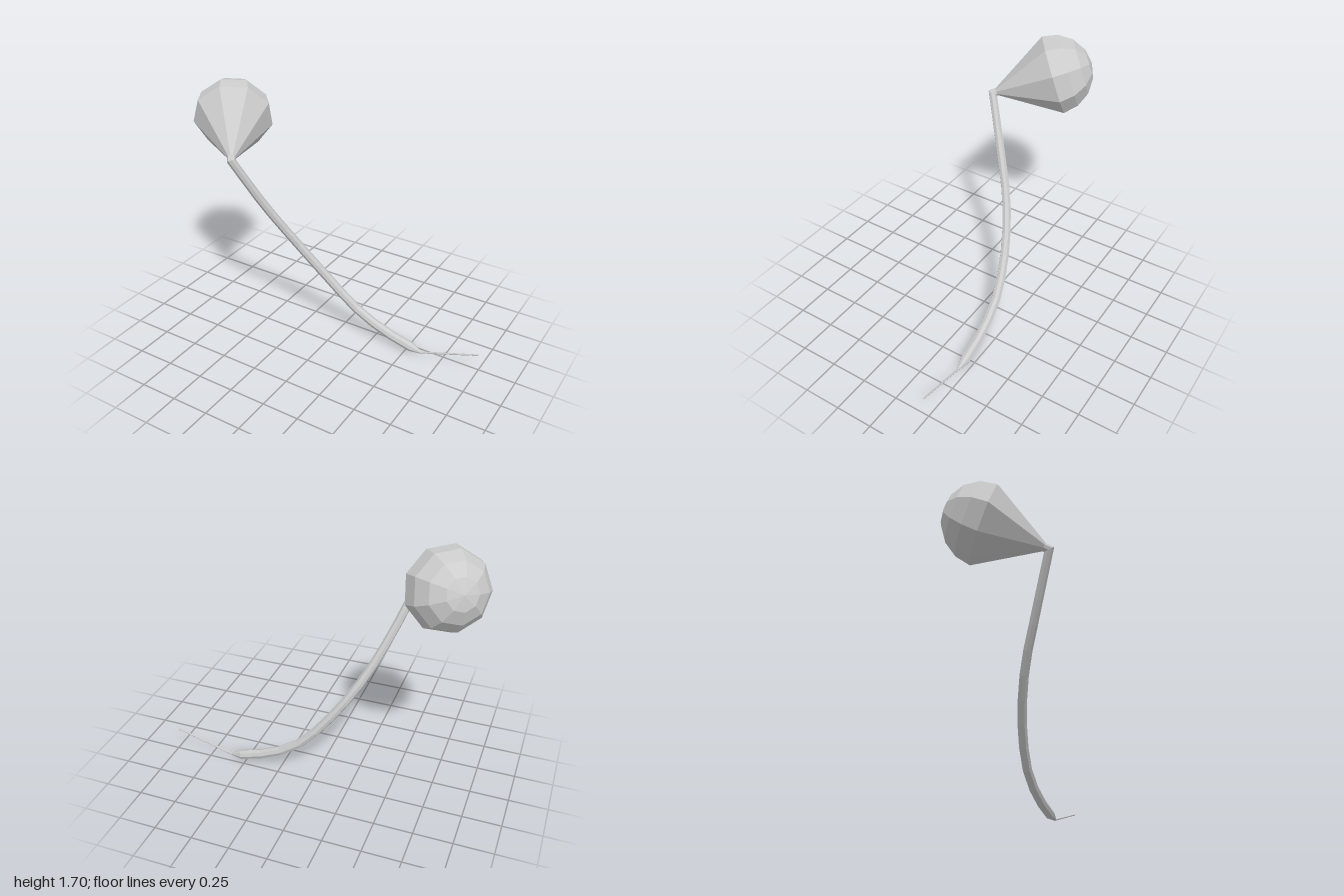
import * as THREE from 'three';

const V = (x, y, z) => new THREE.Vector3(x, y, z);
const material = new THREE.MeshStandardMaterial({ color: 0xcccccc, flatShading: true });

// Prism swept along a path, with mitred corners and one radius per point.
function sweep(points, radii, sides) {
  const last = points.length - 1;
  const dirs = points.slice(1).map((p, i) => p.clone().sub(points[i]).normalize());
  const a = V(0, 1, 0).cross(dirs[0]).normalize();
  const b = dirs[0].clone().cross(a);
  const ring = Array.from({ length: sides }, (_, j) => {
    const t = (j / sides) * Math.PI * 2;
    return a.clone().multiplyScalar(Math.cos(t)).addScaledVector(b, Math.sin(t));
  });
  const pos = [], index = [];
  points.forEach((p, i) => {
    if (i > 0) {
      // slide the ring along its segment onto the mitre plane
      const d = dirs[i - 1];
      const n = i < last ? d.clone().add(dirs[i]).normalize() : d;
      ring.forEach(o => o.addScaledVector(d, -o.dot(n) / d.dot(n)));
    }
    ring.forEach(o => pos.push(...p.clone().addScaledVector(o, radii[i]).toArray()));
  });
  pos.push(...points[0].toArray(), ...points[last].toArray());
  const c0 = sides * (last + 1), end = sides * last;
  for (let j = 0; j < sides; j++) {
    const k = (j + 1) % sides;
    for (let i = 0; i < last; i++) {
      const r = i * sides, s = r + sides;
      index.push(r + j, r + k, s + k, r + j, s + k, s + j);
    }
    index.push(c0, k, j, c0 + 1, end + j, end + k);
  }
  const g = new THREE.BufferGeometry();
  g.setAttribute('position', new THREE.Float32BufferAttribute(pos, 3));
  g.setIndex(index);
  g.computeVertexNormals();
  return g;
}

function addPart(group, name, geometry) {
  const mesh = new THREE.Mesh(geometry, material);
  mesh.name = name;
  group.add(mesh);
  return mesh;
}

export function createModel() {
  const group = new THREE.Group();

  // Bulb: nine-sided cone closed by a domed cap, tilted up and back
  const R = 0.257;
  const profile = [new THREE.Vector2(0, -0.385), new THREE.Vector2(0.022, -0.385)];
  for (let i = 0; i <= 4; i++) {
    const t = (i * Math.PI) / 8;
    profile.push(new THREE.Vector2(i < 4 ? R * Math.cos(t) : 0, R * Math.sin(t)));
  }
  const bulb = addPart(group, 'bulb', new THREE.LatheGeometry(profile, 9));
  const axis = V(-0.542, 0.309, -0.782).normalize();
  const side = V(0.225, 0.956, 0.19).cross(axis).normalize();
  bulb.quaternion.setFromRotationMatrix(
    new THREE.Matrix4().makeBasis(side, axis, side.clone().cross(axis)));
  bulb.position.set(-0.739, 1.465, -0.051);

  // Stem: short neck at the bulb, a sharp bend, then a long curve with a tapered end
  const curve = new THREE.CatmullRomCurve3([
    V(-0.518, 1.335, 0.268), V(-0.39, 1.0, 0.122), V(-0.257, 0.72, -0.01),
    V(-0.07, 0.44, -0.115), V(0.13, 0.22, -0.172), V(0.33, 0.105, -0.192),
    V(0.535, 0.042, -0.2),
  ]);
  const path = curve.getSpacedPoints(12);
  const radii = path.map((_, i) => 0.027 + 0.005 * (i / 12));
  const tip = V(0.612, 0.026, -0.2);
  addPart(group, 'stem', sweep(
    [V(-0.55, 1.355, 0.228), ...path, tip], [0.026, ...radii, 0.008], 8));

  // Needle: thin straight rod rising from the stem's end
  addPart(group, 'needle', sweep(
    [V(0.6, 0.022, -0.2), V(0.998, 0.151, -0.218)], [0.007, 0.005], 8));

  return group;
}
